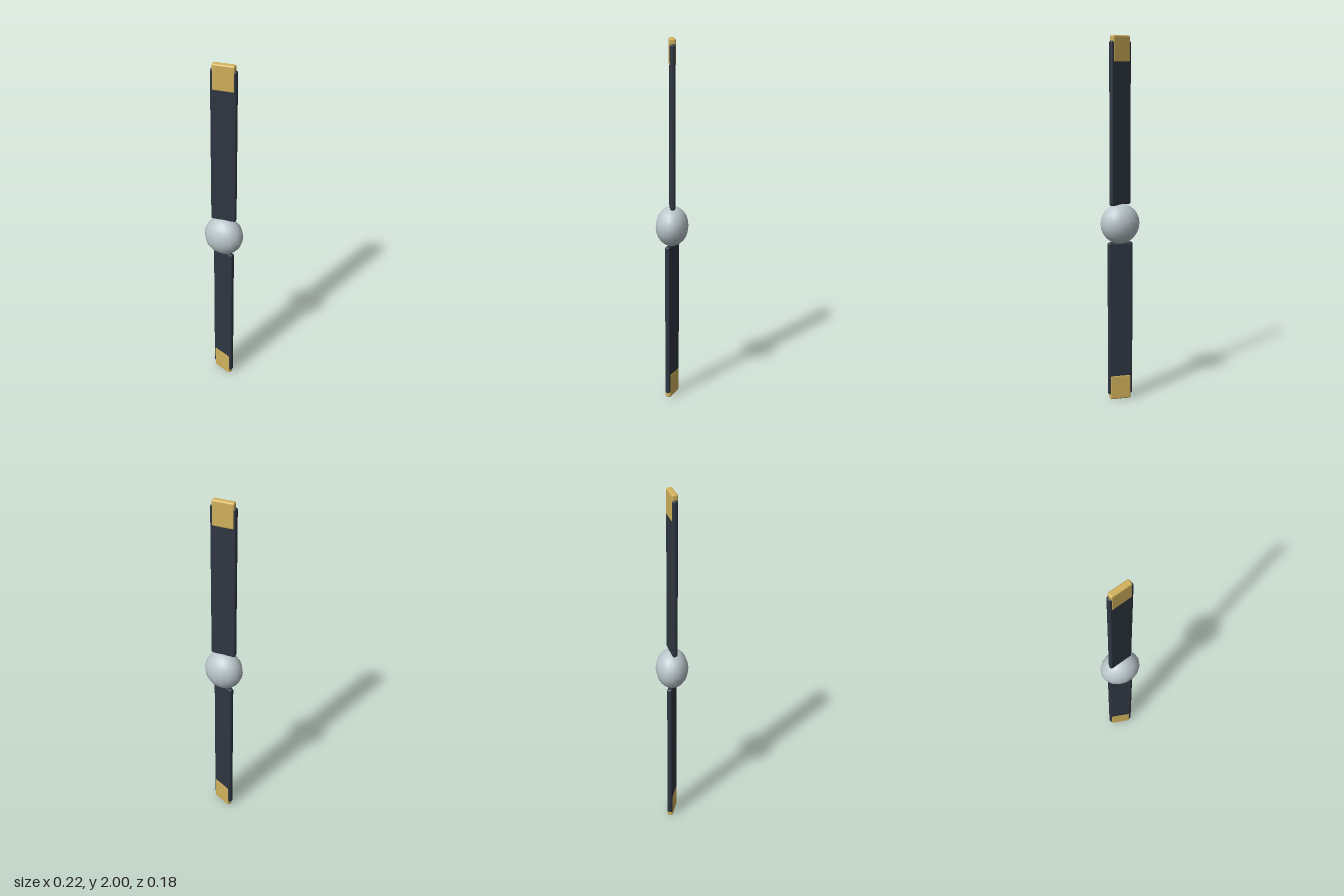
import * as THREE from 'three';
import { RoundedBoxGeometry } from 'three/addons/geometries/RoundedBoxGeometry.js';

const material = (name, color) => {
  const m = new THREE.MeshStandardMaterial({ color });
  m.name = name;
  return m;
};

export function createModel() {
  const bladeMat = material('dark slate', 0x2f3742);
  const tipMat = material('gold', 0xd2b25c);
  const hubMat = material('pale grey', 0xbac6cb);

  const model = new THREE.Group();
  model.name = 'propeller';

  const add = (parent, name, geometry, mat, y) => {
    const mesh = new THREE.Mesh(geometry, mat);
    mesh.name = name;
    mesh.position.y = y;
    parent.add(mesh);
    return mesh;
  };

  // Slightly flattened hub
  const hub = add(model, 'hub', new THREE.SphereGeometry(0.11, 16, 12), hubMat, 1);
  hub.scale.z = 0.81;

  // Two blades pitched in opposite directions, each with a gold tip sleeve
  for (const side of [1, -1]) {
    const blade = new THREE.Group();
    blade.name = side > 0 ? 'upperBlade' : 'lowerBlade';
    blade.position.y = 1;
    blade.rotation.y = side * 0.235;
    add(blade, 'bladeBody', new RoundedBoxGeometry(0.138, 0.87, 0.029, 3, 0.011), bladeMat, side * 0.537);
    add(blade, 'bladeTip', new RoundedBoxGeometry(0.118, 0.14, 0.033, 3, 0.009), tipMat, side * 0.93);
    model.add(blade);
  }

  return model;
}
